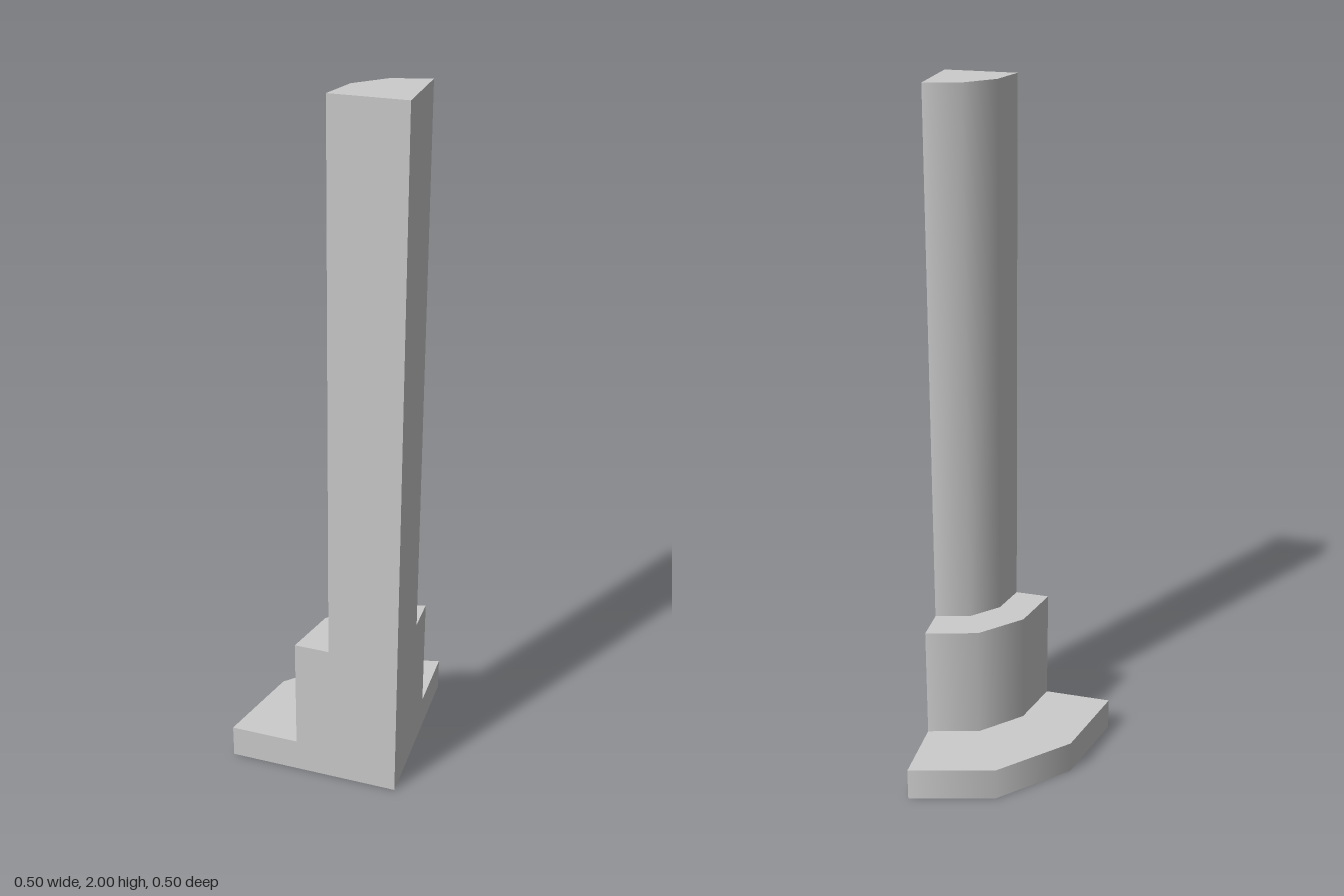
import * as THREE from 'three';

// Quarter of a stepped round post, its axis on the front-left corner
const CORNER = 0.2475;
const TIERS = [
  { name: 'basePlate', radius: 0.495, bottom: 0, top: 0.1 },
  { name: 'collar', radius: 0.297, bottom: 0.1, top: 0.445 },
  { name: 'shaft', radius: 0.198, bottom: 0.445, top: 2 },
];

// Stepped section outline, reaching outwards along the given side of the axis
function sectionGeometry(side) {
  const shape = new THREE.Shape().moveTo(0, 0);
  for (const { radius, bottom, top } of TIERS) {
    shape.lineTo(side * radius, bottom);
    shape.lineTo(side * radius, top);
  }
  shape.lineTo(0, TIERS[TIERS.length - 1].top);
  return new THREE.ShapeGeometry(shape);
}

export function createModel() {
  const model = new THREE.Group();
  model.name = 'quarterPost';
  const material = new THREE.MeshStandardMaterial({ color: 0xcccccc });

  const addPart = (name, geometry) => {
    const mesh = new THREE.Mesh(geometry, material);
    mesh.name = name;
    mesh.position.set(CORNER, 0, CORNER);
    model.add(mesh);
  };

  // Curved tiers: three-sided quarter cylinders opening to the back right
  for (const { name, radius, bottom, top } of TIERS) {
    const tier = new THREE.CylinderGeometry(
      radius, radius, top - bottom, 3, 1, false, Math.PI, Math.PI / 2);
    addPart(name, tier.translate(0, (bottom + top) / 2, 0));
  }

  // Flat cut faces on the front and the left
  addPart('frontCutFace', sectionGeometry(-1));
  addPart('leftCutFace', sectionGeometry(1).rotateY(Math.PI / 2));

  return model;
}
